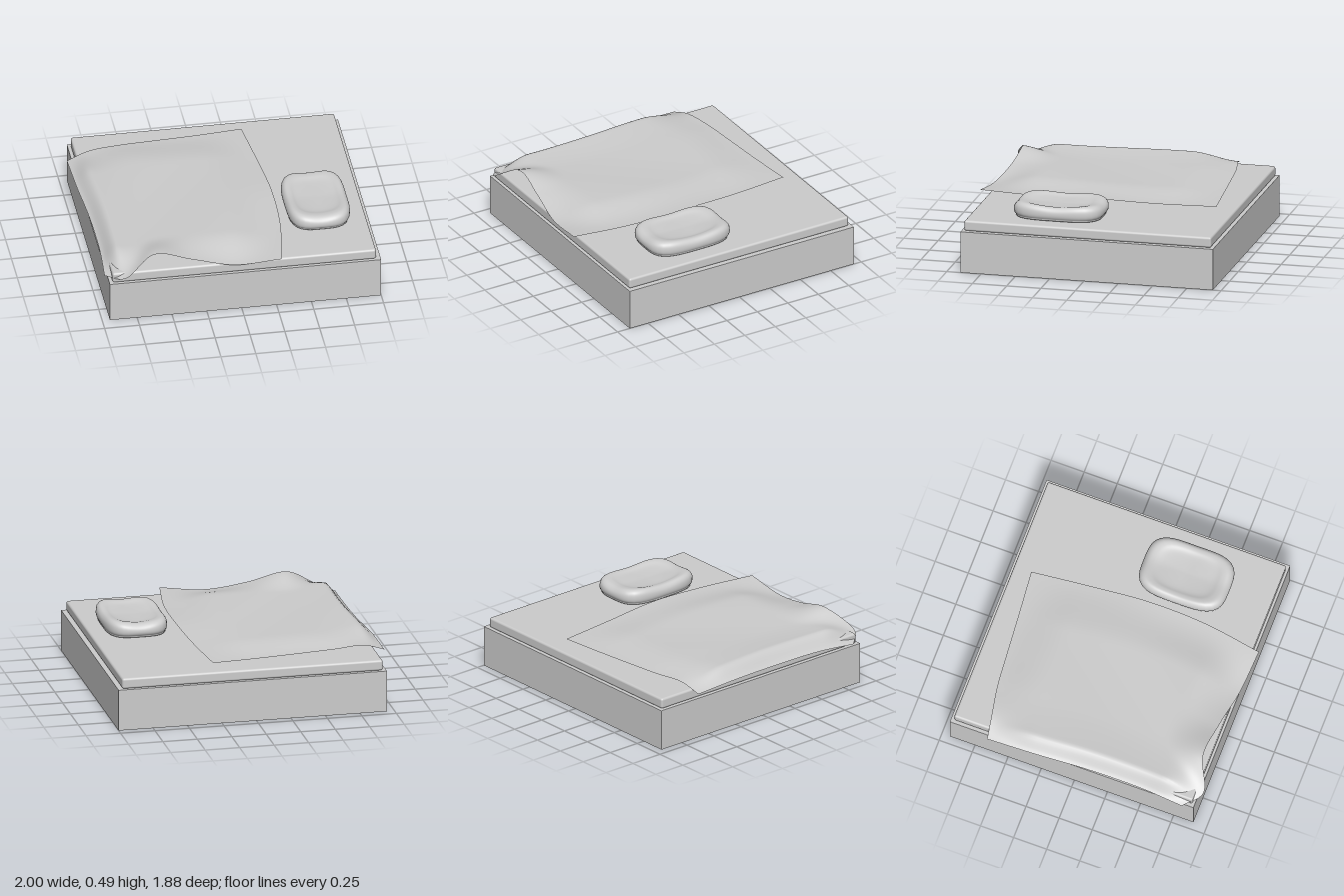
import * as THREE from 'three';
import { RoundedBoxGeometry } from 'three/addons/geometries/RoundedBoxGeometry.js';
import { mergeVertices } from 'three/addons/utils/BufferGeometryUtils.js';

const grey = new THREE.MeshStandardMaterial({ color: 0xcccccc });
const thin = new THREE.MeshStandardMaterial({ color: 0xcccccc, side: THREE.DoubleSide });

function part(name, geometry, material = grey) {
  const mesh = new THREE.Mesh(geometry, material);
  mesh.name = name;
  return mesh;
}

const curve = (points) =>
  new THREE.CatmullRomCurve3(points.map((p) => new THREE.Vector3(...p)), false, 'centripetal');

// Weld vertices and smooth the shading
function smooth(geometry) {
  geometry.deleteAttribute('uv');
  geometry.deleteAttribute('normal');
  const welded = mergeVertices(geometry, 1e-5);
  welded.computeVertexNormals();
  return welded;
}

// Thin-walled box, open underneath
function frameGeometry() {
  const geometry = new THREE.BoxGeometry(1.945, 0.3, 1.84);
  const index = Array.from(geometry.index.array);
  index.splice(18, 6);
  geometry.setIndex(index);
  geometry.clearGroups();
  return geometry;
}

// Sheet spanned between four edge curves, raised to a soft wavy height inside
function blanketGeometry() {
  const back = curve([[-0.995, 0.36, -0.64], [-0.84, 0.41, -0.665], [-0.62, 0.41, -0.705],
    [-0.35, 0.405, -0.73], [-0.05, 0.4, -0.755], [0.28, 0.4, -0.785]]);
  const front = curve([[-0.97, 0.325, 0.82], [-0.84, 0.36, 0.935], [-0.62, 0.485, 0.85],
    [-0.35, 0.425, 0.865], [-0.05, 0.375, 0.91], [0.28, 0.405, 0.935]]);
  const left = curve([[-0.995, 0.36, -0.64], [-0.985, 0.37, -0.28], [-0.96, 0.36, 0.1],
    [-0.955, 0.35, 0.5], [-0.97, 0.325, 0.82]]);
  const right = curve([[0.28, 0.4, -0.785], [0.325, 0.405, -0.35], [0.355, 0.42, 0.08],
    [0.345, 0.41, 0.5], [0.28, 0.405, 0.935]]);
  const [bl, br, fl, fr] = [back.getPoint(0), back.getPoint(1), front.getPoint(0), front.getPoint(1)];
  const ramp = (t, width) => THREE.MathUtils.smoothstep(t, 0, width);

  const geometry = new THREE.PlaneGeometry(1, 1, 48, 48);
  const { position, uv } = geometry.attributes;
  for (let i = 0; i < position.count; i++) {
    const u = uv.getX(i);
    const v = 1 - uv.getY(i);
    const p = new THREE.Vector3()
      .addScaledVector(back.getPoint(u), 1 - v).addScaledVector(front.getPoint(u), v)
      .addScaledVector(left.getPoint(v), 1 - u).addScaledVector(right.getPoint(v), u)
      .addScaledVector(bl, -(1 - u) * (1 - v)).addScaledVector(br, -u * (1 - v))
      .addScaledVector(fl, -(1 - u) * v).addScaledVector(fr, -u * v);
    const inside = ramp(u, 0.16) * ramp(1 - u, 0.22) * ramp(v, 0.22) * ramp(1 - v, 0.2);
    const height = 0.437 + 0.02 * (1 - ramp(u, 0.4)) + 0.005 * Math.sin(5 * p.x + 4 * p.z);
    p.y += (height - p.y) * inside;
    position.setXYZ(i, p.x, p.y, p.z);
  }
  return smooth(geometry);
}

// Turned profile squared off into a cushion with raised corners and a sunken top
function pillowGeometry() {
  const profile = new THREE.SplineCurve([[0, 0], [0.85, 0.002], [0.96, 0.02], [1, 0.045],
    [0.98, 0.075], [0.89, 0.098], [0.76, 0.1], [0.55, 0.088], [0, 0.083]]
    .map(([r, y]) => new THREE.Vector2(r, y))).getPoints(40);
  profile[0].x = profile[40].x = 0;
  const geometry = new THREE.LatheGeometry(profile, 48);
  const position = geometry.attributes.position;
  for (let i = 0; i < position.count; i++) {
    const [x, y, z] = [position.getX(i), position.getY(i), position.getZ(i)];
    const r = Math.hypot(x, z);
    if (r < 1e-6) continue;
    const [c, s] = [x / r, z / r];
    const square = Math.pow(Math.abs(c) ** 3.6 + Math.abs(s) ** 3.6, -1 / 3.6);
    const lift = 0.018 * (2 * c * s) ** 2 * r * r * THREE.MathUtils.smoothstep(y, 0.03, 0.09);
    position.setXYZ(i, x * square * 0.225, y + lift, z * square * 0.325);
  }
  return smooth(geometry);
}

export function createModel() {
  const group = new THREE.Group();
  group.name = 'bed';

  const frame = part('bedFrame', frameGeometry(), thin);
  frame.position.set(0.0275, 0.15, -0.02);

  const mattress = part('mattress', new RoundedBoxGeometry(1.89, 0.077, 1.8, 3, 0.016));
  mattress.position.set(0.0225, 0.3365, -0.0175);

  const pillow = part('pillow', pillowGeometry());
  pillow.position.set(0.637, 0.374, 0.255);

  group.add(frame, mattress, part('blanket', blanketGeometry(), thin), pillow);
  return group;
}
